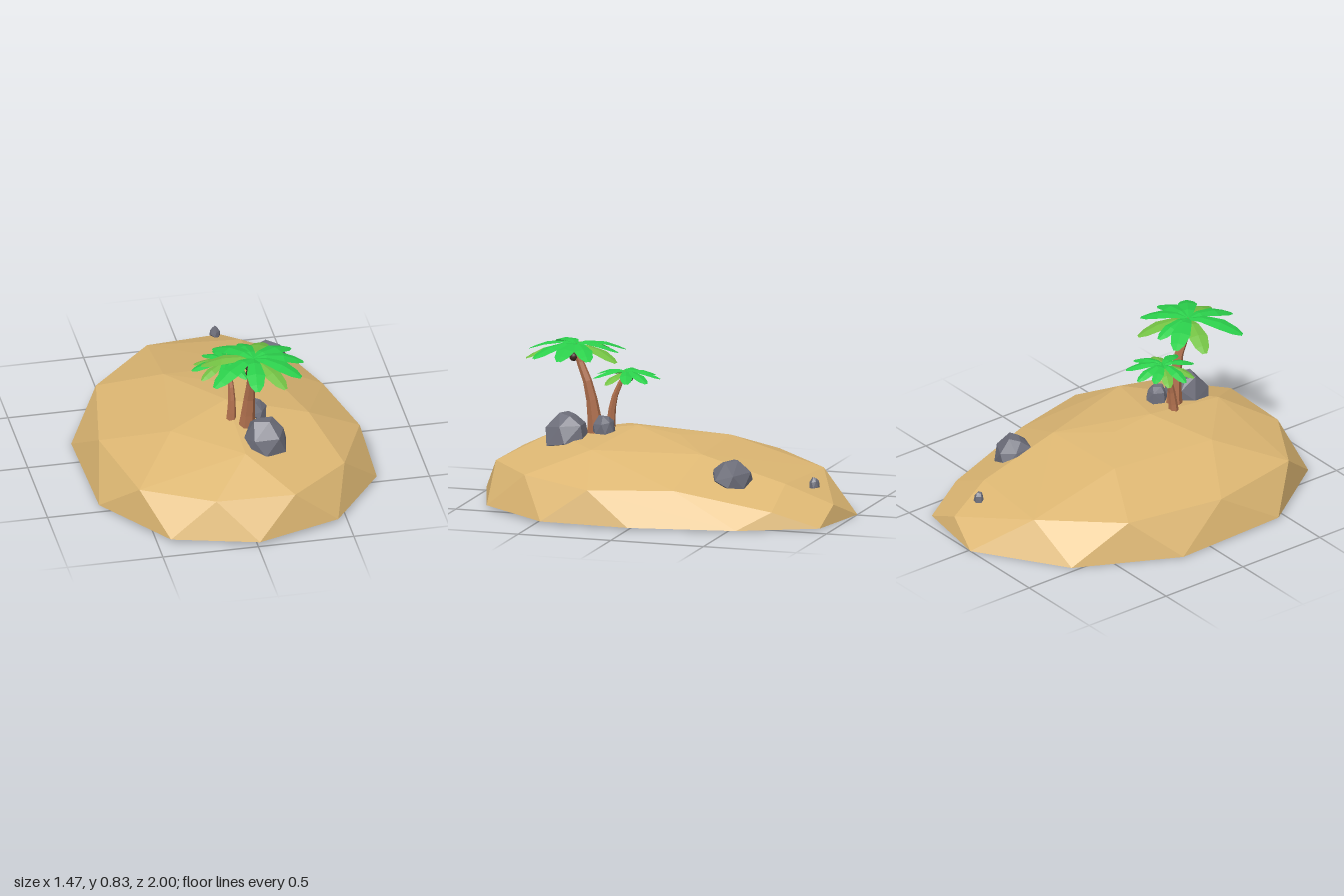
import * as THREE from 'three';
import { ConvexGeometry } from 'three/addons/geometries/ConvexGeometry.js';

const mat = (name, color, side = THREE.FrontSide) => {
  const m = new THREE.MeshStandardMaterial({ color, side });
  m.name = name;
  return m;
};

export function createModel() {
  const sand = mat('sand', 0xdcb672);
  const stone = mat('stone', 0x6d6e7a);
  const bark = mat('bark', 0xb0704e);
  const husk = mat('coconut husk', 0x402a22);
  const leaf = mat('green leaf', 0x2bcf4b, THREE.DoubleSide);
  const paleLeaf = mat('yellow green leaf', 0x74c244, THREE.DoubleSide);

  const root = new THREE.Group();
  root.name = 'palmIsland';
  const add = (parent, name, geometry, material) => {
    const mesh = new THREE.Mesh(geometry, material);
    mesh.name = name;
    parent.add(mesh);
    return mesh;
  };
  const hull = (points) => new ConvexGeometry(points.map((p) => new THREE.Vector3(...p)));
  const faceted = (geometry) => {
    const g = geometry.index ? geometry.toNonIndexed() : geometry;
    g.computeVertexNormals();
    return g;
  };

  // Sand mound: shore, shoulder, crown and summit
  add(root, 'sandMound', hull([
    [0.01, 0.022, 0.995], [0.45, 0.02, 0.85], [0.73, 0.015, 0.47], [0.73, 0.012, 0],
    [0.605, 0.006, -0.545], [0.4, 0.003, -0.93], [-0.01, 0, -1], [-0.47, 0, -0.7],
    [-0.735, 0.003, -0.18], [-0.72, 0.01, 0.45], [-0.43, 0.018, 0.87],
    [-0.19, 0.21, 0.86], [0.22, 0.21, 0.875], [0.53, 0.21, 0.62], [0.69, 0.185, 0.23],
    [0.585, 0.19, -0.2], [0.26, 0.195, -0.7], [-0.22, 0.19, -0.75],
    [-0.56, 0.2, -0.4], [-0.655, 0.2, 0.13], [-0.55, 0.2, 0.65],
    [0.2, 0.09, -0.94], [0.49, 0.09, -0.7],
    [0.01, 0.335, 0.63], [0.41, 0.338, 0.3], [0.26, 0.32, -0.25],
    [-0.24, 0.325, -0.24], [-0.32, 0.333, 0.33], [0.01, 0.362, -0.05], [0, 0.395, 0.18],
  ]), sand);

  // Boulders: one chipped block, resized and turned
  const block = [
    [-0.9, -0.7, 0.6], [-0.2, -0.8, 1], [0.8, -0.8, 0.7], [1, -0.6, -0.2],
    [0.5, -0.7, -0.95], [-0.6, -0.7, -0.9], [-1, -0.3, -0.2], [-0.7, 0.1, 0.75],
    [0.45, 0.2, 0.85], [0.8, 0.35, 0.1], [0.45, 0.4, -0.8], [-0.6, 0.35, -0.7],
    [-0.6, 0.95, 0.1], [0.1, 1, 0.3], [0.35, 0.9, -0.25], [-0.4, 0.85, -0.3],
  ];
  for (const [name, pos, size, turn] of [
    ['frontBoulder', [0.14, 0.375, 0.52], [0.11, 0.09, 0.115], 0],
    ['middleBoulder', [0.13, 0.412, 0.32], [0.055, 0.05, 0.055], 1.1],
    ['backBoulder', [0.34, 0.245, -0.44], [0.108, 0.075, 0.1], 2.7],
    ['pebble', [0.15, 0.185, -0.82], [0.026, 0.03, 0.026], 0.8],
  ]) {
    const rock = add(root, name, hull(block), stone);
    rock.position.set(...pos);
    rock.scale.set(...size);
    rock.rotation.y = turn;
  }

  // Tapered trunk swept along a bent path
  const trunk = (path, radii) => {
    const curve = new THREE.CatmullRomCurve3(path.map((p) => new THREE.Vector3(...p)));
    const rings = 5, sides = 6;
    const g = new THREE.TubeGeometry(curve, rings, 1, sides);
    const v = new THREE.Vector3();
    for (let i = 0; i < g.attributes.position.count; i++) {
      const t = Math.floor(i / (sides + 1)) / rings;
      const c = curve.getPointAt(t);
      const r = radii[1] + (radii[0] - radii[1]) * (1 - t) ** 1.6;
      v.fromBufferAttribute(g.attributes.position, i).sub(c).multiplyScalar(r).add(c);
      g.attributes.position.setXYZ(i, v.x, v.y, v.z);
    }
    return faceted(g);
  };

  // Folded leaf: [distance, half width, height] per station
  const stations = [[0, 0.016, 0], [0.25, 0.033, 0.012], [0.6, 0.05, 0],
    [0.85, 0.037, -0.026], [1, 0.012, -0.046]];
  const frond = (degrees, length, pale) => {
    const pos = [], index = [], s = length / 0.27;
    stations.forEach(([t, w, y], i) => {
      const droop = pale ? -0.012 * t : 0;
      pos.push(t * length, (y + droop) * s - w * 0.2, -w * s,
        t * length, (y + droop) * s, 0,
        t * length, (y + droop) * s - w * 0.2, w * s);
      if (i === 0) return;
      for (const k of [0, 1]) {
        const a = (i - 1) * 3 + k, b = a + 3;
        index.push(a, a + 1, b, a + 1, b + 1, b);
      }
    });
    const g = new THREE.BufferGeometry();
    g.setAttribute('position', new THREE.Float32BufferAttribute(pos, 3));
    g.setIndex(index);
    return faceted(g).rotateY(-degrees * Math.PI / 180);
  };

  // Palms: trunk, crown of fronds and coconuts
  const palm = ({ name, path, radii, crown, fronds, nutRadius, nutDrop }) => {
    const group = new THREE.Group();
    group.name = name;
    root.add(group);
    add(group, 'trunk', trunk(path, radii), bark);
    fronds.forEach(([degrees, length, pale]) => {
      const f = add(group, 'frond', frond(degrees, length, pale), pale ? paleLeaf : leaf);
      f.position.set(...crown);
      if (pale) f.position.y -= 0.008;
    });
    for (const angle of [0.4, 2.3, 4.4]) {
      const nut = add(group, 'coconut', new THREE.IcosahedronGeometry(nutRadius, 1), husk);
      nut.position.set(crown[0] - 0.01 + Math.cos(angle) * nutRadius * 0.9,
        crown[1] - nutDrop + Math.sin(angle * 2) * 0.006,
        crown[2] + Math.sin(angle) * nutRadius * 1.2);
    }
  };

  palm({
    name: 'tallPalm',
    path: [[0.065, 0.33, 0.385], [0.075, 0.5, 0.4], [0.08, 0.65, 0.435], [0.075, 0.75, 0.48], [0.08, 0.815, 0.5]],
    radii: [0.045, 0.017],
    crown: [0.08, 0.817, 0.49],
    fronds: [[145, 0.29], [97, 0.26], [62, 0.26, true], [36, 0.27], [2, 0.26], [-32, 0.26],
      [-68, 0.27, true], [-98, 0.22], [-128, 0.27], [-160, 0.27, true]],
    nutRadius: 0.022, nutDrop: 0.07,
  });
  palm({
    name: 'shortPalm',
    path: [[-0.005, 0.34, 0.33], [0.002, 0.47, 0.32], [0, 0.57, 0.295], [-0.01, 0.665, 0.245]],
    radii: [0.028, 0.012],
    crown: [-0.015, 0.668, 0.25],
    fronds: [[178, 0.18], [207, 0.17, true], [233, 0.16], [264, 0.18], [309, 0.19], [342, 0.18],
      [20, 0.17, true], [62, 0.17], [105, 0.17], [148, 0.17, true]],
    nutRadius: 0.015, nutDrop: 0.043,
  });

  return root;
}
